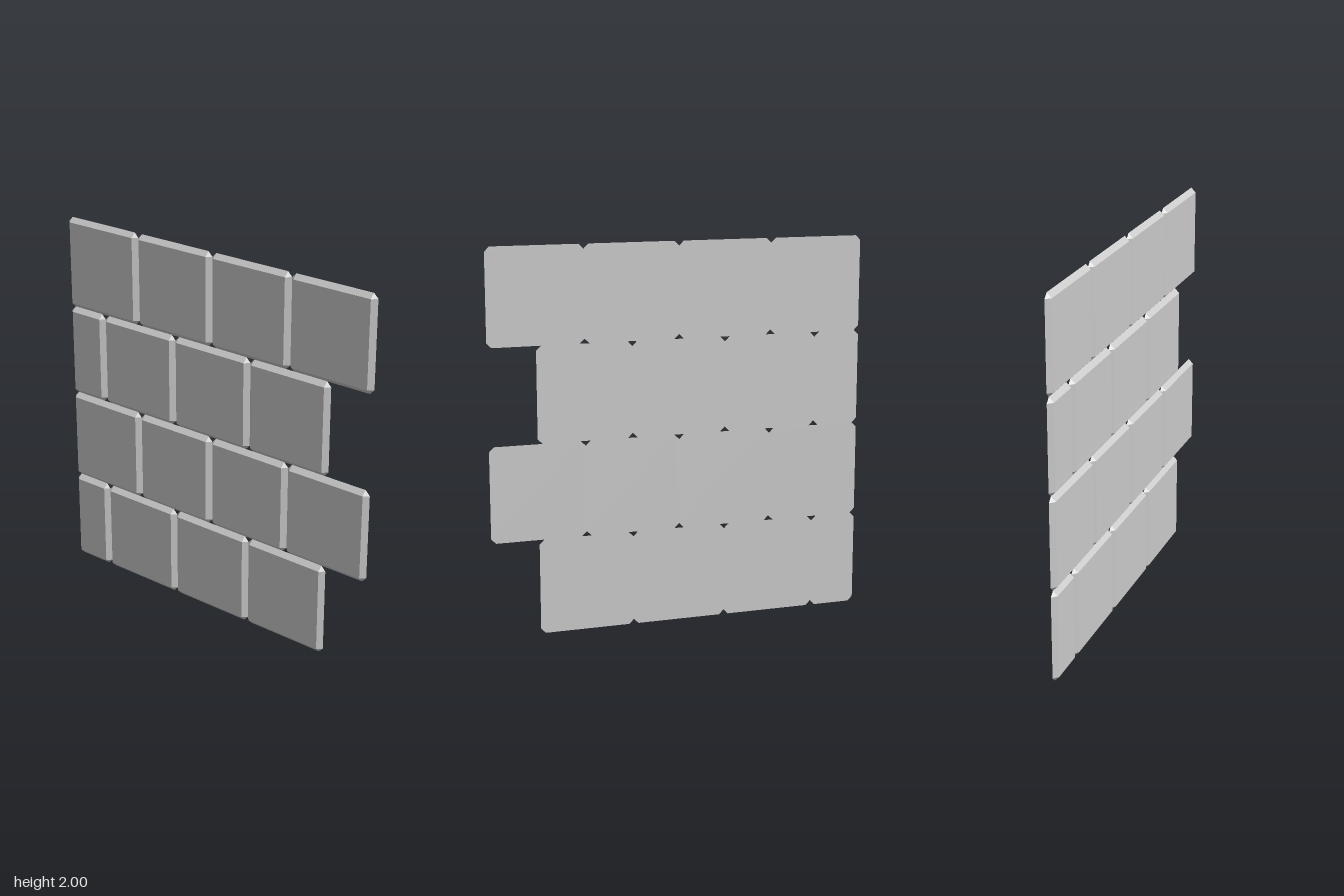
import * as THREE from 'three';
import { ConvexGeometry } from 'three/addons/geometries/ConvexGeometry.js';

const TILE = 0.5;      // tile size and row height
const BEVEL = 0.025;   // bevel inset and corner cut
const HALF_DEPTH = 0.0125;

// Bevelled tile: inset rectangular front, full-size back with cut corners
function tileGeometry(width, height) {
  const points = [];
  const w = width / 2, h = height / 2;
  for (const sx of [-1, 1]) {
    for (const sy of [-1, 1]) {
      points.push(
        new THREE.Vector3(sx * (w - BEVEL), sy * (h - BEVEL), HALF_DEPTH),
        new THREE.Vector3(sx * w, sy * (h - BEVEL), -HALF_DEPTH),
        new THREE.Vector3(sx * (w - BEVEL), sy * h, -HALF_DEPTH)
      );
    }
  }
  return new ConvexGeometry(points);
}

export function createModel() {
  const wall = new THREE.Group();
  wall.name = 'tileWall';
  const material = new THREE.MeshStandardMaterial({ color: 0xcccccc, flatShading: true });
  const fullTile = tileGeometry(TILE, TILE);
  const halfTile = tileGeometry(TILE / 2, TILE);

  // Four rows in running bond; the offset rows start with a half tile
  for (let r = 0; r < 4; r++) {
    const row = new THREE.Group();
    row.name = `row${r + 1}`;
    row.position.y = (r + 0.5) * TILE;
    let x = -1;
    for (let i = 0; i < 4; i++) {
      const isHalf = r % 2 === 0 && i === 0;
      const width = isHalf ? TILE / 2 : TILE;
      const tile = new THREE.Mesh(isHalf ? halfTile : fullTile, material);
      tile.name = isHalf ? 'halfTile' : 'fullTile';
      tile.position.x = x + width / 2;
      row.add(tile);
      x += width;
    }
    wall.add(row);
  }
  return wall;
}
